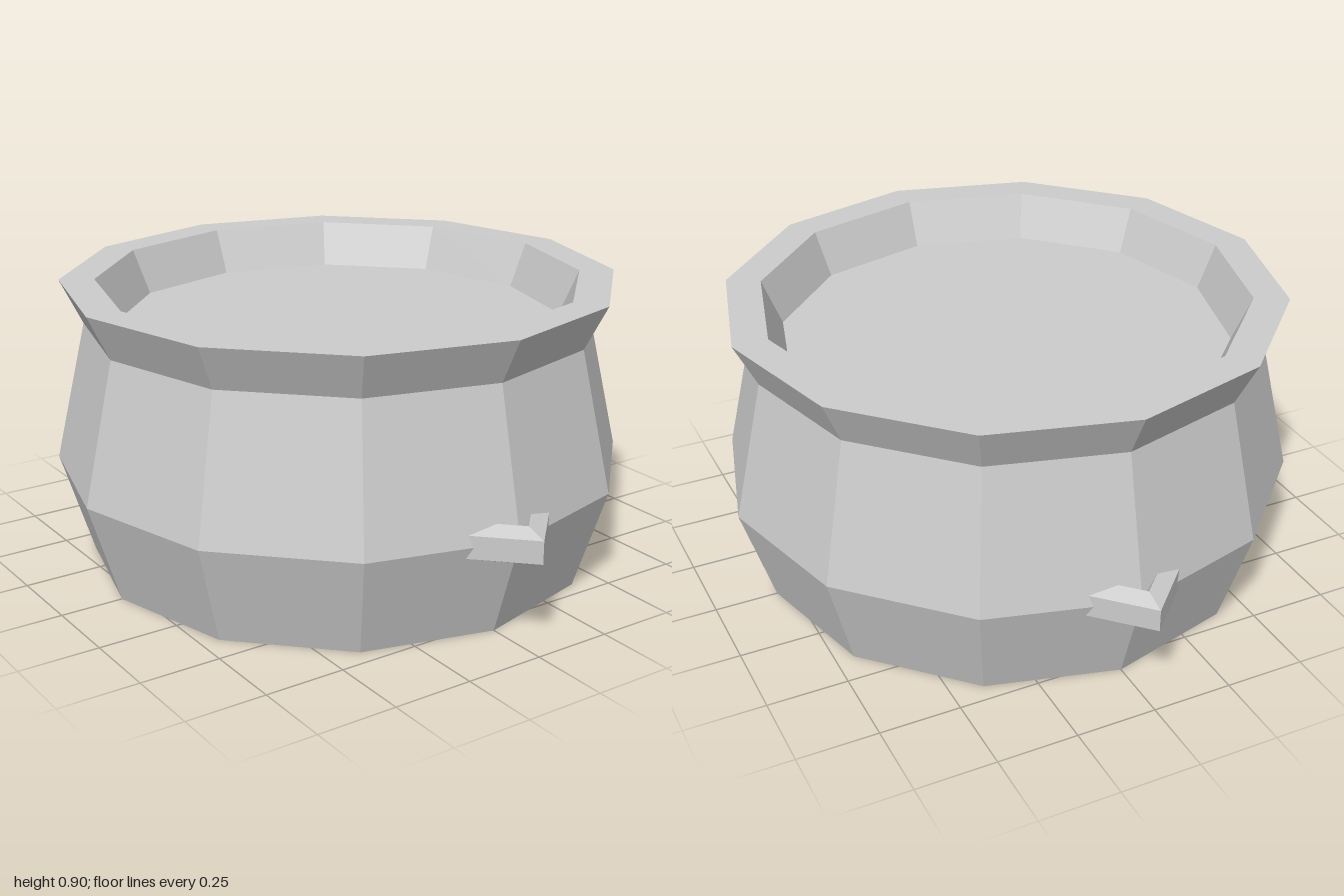
import * as THREE from 'three';

export function createModel() {
  const model = new THREE.Group();
  const material = new THREE.MeshStandardMaterial({ color: 0xcccccc, flatShading: true });

  // Revolves a list of [radius, height] points into a faceted part
  const revolve = (name, profile, sides) => {
    const points = profile.map(([r, y]) => new THREE.Vector2(r, y));
    const mesh = new THREE.Mesh(new THREE.LatheGeometry(points, sides), material);
    mesh.name = name;
    model.add(mesh);
    return mesh;
  };

  // Twelve-sided pot: base, belly, neck, flared rim and inner wall
  revolve('pot', [[0, 0], [0.8, 0], [0.9, 0.32], [0.8, 0.76], [0.87, 0.9], [0.76, 0.9], [0.7, 0.76]], 12);

  // Flat surface inside the rim
  revolve('contents', [[0.7, 0.76], [0, 0.76]], 12);

  // Handles: four-sided rings with a pentagonal section, half sunk into the belly
  const section = [];
  for (let i = 0; i <= 5; i++) {
    const a = ((i - 0.5) * Math.PI * 2) / 5;
    section.push([0.11 + 0.06 * Math.cos(a), 0.06 * Math.sin(a)]);
  }
  for (const [name, side] of [['frontHandle', 1], ['backHandle', -1]]) {
    revolve(name, section, 4).position.set(0, 0.32, side * 0.8415);
  }

  return model;
}
